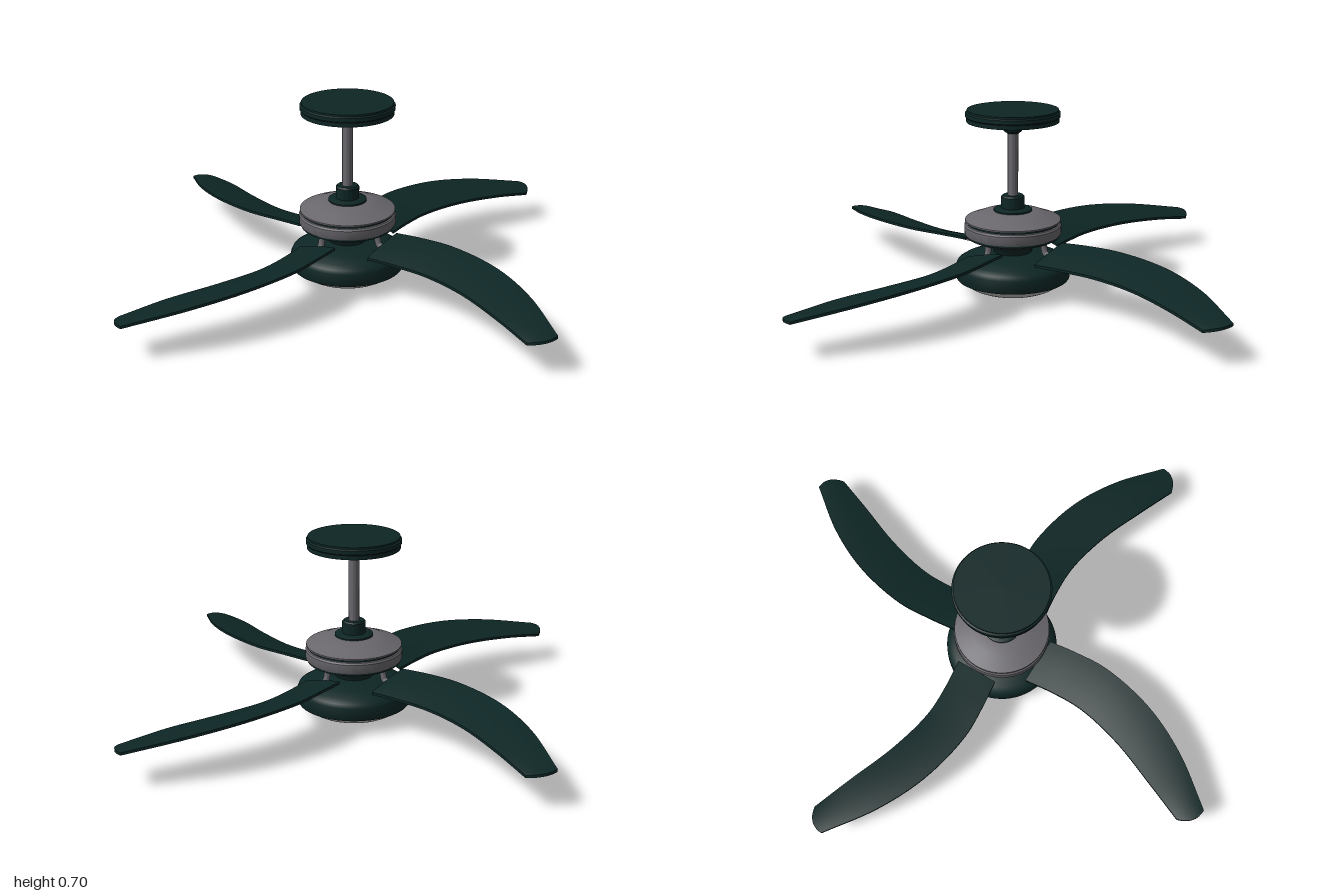
import * as THREE from 'three';
import { toCreasedNormals } from 'three/addons/utils/BufferGeometryUtils.js';

const green = new THREE.MeshStandardMaterial({ name: 'dark green', color: 0x0d2625 });
const metal = new THREE.MeshStandardMaterial({ name: 'brushed grey', color: 0x69676c });
const glass = new THREE.MeshStandardMaterial({ name: 'frosted glass', color: 0xbcbcb9 });

function add(parent, name, geometry, material) {
  const mesh = new THREE.Mesh(geometry, material);
  mesh.name = name;
  parent.add(mesh);
  return mesh;
}

// Turned part: profile of [radius, height] running from bottom to top
function turned(parent, name, profile, material) {
  const points = profile.map(([r, y]) => new THREE.Vector2(r, y));
  return add(parent, name, toCreasedNormals(new THREE.LatheGeometry(points, 64), 0.6), material);
}

// Blade lofted between its leading and trailing edges, with a bowed tip
function bladeGeometry() {
  const curve = (pts) => new THREE.CatmullRomCurve3(pts.map((p) => new THREE.Vector3(...p)));
  const lead = curve([[0.17, 0.203, -0.085], [0.28, 0.206, -0.103], [0.41, 0.205, -0.114],
    [0.62, 0.196, -0.08], [0.81, 0.175, 0.0], [1.0, 0.14, 0.127]]);
  const trail = curve([[0.17, 0.16, 0.088], [0.28, 0.158, 0.07], [0.41, 0.157, 0.063],
    [0.59, 0.156, 0.095], [0.78, 0.146, 0.158], [0.935, 0.126, 0.21]]);
  const rows = 28, cols = 9, loop = cols * 2, thick = 0.01;
  const pos = [], index = [];
  for (let i = 0; i <= rows; i++) {
    const s = i / rows;
    const a = lead.getPoint(s), b = trail.getPoint(s);
    for (let k = 0; k < loop; k++) {
      const top = k < cols;
      const v = (top ? k : loop - 1 - k) / (cols - 1);
      const arch = 4 * v * (1 - v);
      const p = a.clone().lerp(b, v);
      pos.push(p.x + 0.018 * arch * s ** 8, p.y + 0.004 * arch - (top ? 0 : thick), p.z + 0.01 * arch * s ** 8);
    }
  }
  for (let i = 0; i < rows; i++) {
    for (let k = 0; k < loop; k++) {
      const n = (k + 1) % loop, o = i * loop, q = o + loop;
      index.push(o + k, o + n, q + k, o + n, q + n, q + k);
    }
  }
  // root and tip caps
  const e = rows * loop;
  for (let k = 0; k < cols - 1; k++) {
    const c = loop - 1 - k, d = c - 1;
    index.push(k, c, k + 1, k + 1, c, d);
    index.push(e + k, e + k + 1, e + c, e + k + 1, e + d, e + c);
  }
  const g = new THREE.BufferGeometry();
  g.setAttribute('position', new THREE.Float32BufferAttribute(pos, 3));
  g.setIndex(index);
  return toCreasedNormals(g, 0.6);
}

export function createModel() {
  const fan = new THREE.Group();
  fan.name = 'ceilingFan';

  // Ceiling mount and rod
  turned(fan, 'canopy', [[0, 0.64], [0.05, 0.64], [0.145, 0.654], [0.172, 0.66], [0.172, 0.676],
    [0.176, 0.68], [0.176, 0.694], [0.17, 0.698], [0.17, 0.705], [0, 0.705]], green);
  turned(fan, 'hangerBall', [[0, 0.615], [0.022, 0.615], [0.034, 0.624], [0.04, 0.645]], green);
  turned(fan, 'downRod', [[0.02, 0.36], [0.02, 0.63]], metal);
  turned(fan, 'rodCollar', [[0.072, 0.315], [0.072, 0.326], [0.064, 0.33], [0.044, 0.332],
    [0.044, 0.374], [0.038, 0.38], [0, 0.38]], green);

  // Motor housing with grooves and vent ribs
  turned(fan, 'motorHousing', [[0, 0.21], [0.15, 0.21], [0.165, 0.216], [0.172, 0.222], [0.172, 0.228],
    [0.18, 0.23], [0.183, 0.236], [0.183, 0.266], [0.178, 0.272], [0.168, 0.274], [0.168, 0.28],
    [0.18, 0.282], [0.18, 0.288], [0.155, 0.297], [0.12, 0.311], [0.085, 0.32], [0, 0.322]], metal);
  turned(fan, 'upperMotorBand', [[0.169, 0.2745], [0.174, 0.2745], [0.174, 0.2815], [0.169, 0.2815]], green);
  turned(fan, 'lowerMotorBand', [[0.172, 0.222], [0.176, 0.222], [0.176, 0.2295], [0.172, 0.2295]], green);

  // Switch housing, light kit and bowl
  turned(fan, 'switchNeck', [[0.07, 0.155], [0.075, 0.175], [0.095, 0.195], [0.115, 0.211]], green);
  turned(fan, 'lightHousing', [[0, 0.058], [0.212, 0.058], [0.216, 0.064], [0.216, 0.108], [0.21, 0.122],
    [0.19, 0.135], [0.15, 0.15], [0.105, 0.16], [0, 0.164]], green);
  const bowl = [];
  for (let i = 0; i <= 14; i++) {
    const a = (i / 14) * Math.PI / 2;
    bowl.push([0.192 * Math.sin(a), 0.06 - 0.06 * Math.cos(a)]);
  }
  turned(fan, 'lightBowl', bowl, glass);

  // Four blades with their brackets
  const blade = bladeGeometry();
  const elbow = new THREE.TubeGeometry(new THREE.CatmullRomCurve3([
    [0.145, 0.222, 0], [0.148, 0.195, 0], [0.155, 0.178, 0], [0.185, 0.17, 0],
  ].map((p) => new THREE.Vector3(...p))), 12, 0.012, 10);
  const plate = new THREE.BoxGeometry(0.13, 0.012, 0.05);
  for (let i = 0; i < 4; i++) {
    const arm = new THREE.Group();
    arm.name = 'bladeAssembly' + (i + 1);
    add(arm, 'blade', blade, green);
    add(arm, 'bracketElbow', elbow, metal);
    const p = add(arm, 'bracketPlate', plate, metal);
    p.position.set(0.225, 0.169, 0);
    p.rotation.x = 0.24;
    arm.rotation.y = i * Math.PI / 2;
    fan.add(arm);
  }
  return fan;
}
